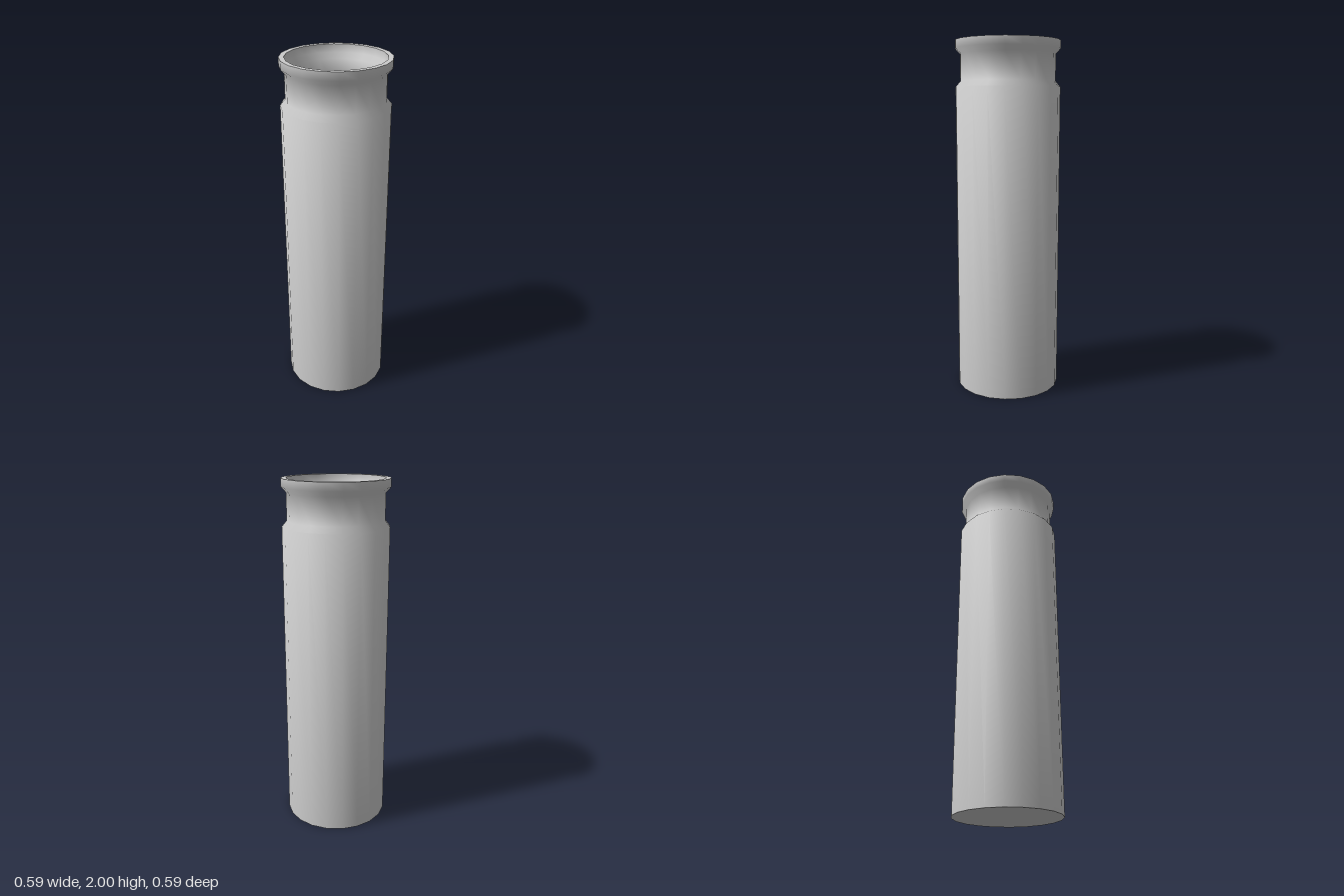
import * as THREE from 'three';
import { toCreasedNormals } from 'three/addons/utils/BufferGeometryUtils.js';

const SIDES = 20;
const WALL = 0.028;

export function createModel() {
  const group = new THREE.Group();
  group.name = 'canister';
  const material = new THREE.MeshStandardMaterial({ color: 0xcccccc });

  // Outer wall from the base up: body, bevel, neck groove, bevel, rim
  const outer = [
    [0.297, 0], [0.297, 1.745], [0.27, 1.777],
    [0.27, 1.925], [0.297, 1.955], [0.297, 2],
  ];
  // Inner wall follows the outer one, a wall thickness further in
  const inner = outer.map(([r, y]) => [r - WALL, y === 0 ? WALL : y]).reverse();

  // Closed bottom, open top
  const profile = [[0, 0], ...outer, ...inner, [0, WALL]].map(([r, y]) => new THREE.Vector2(r, y));
  const geometry = toCreasedNormals(new THREE.LatheGeometry(profile, SIDES), Math.PI / 3);

  const shell = new THREE.Mesh(geometry, material);
  shell.name = 'hollowShell';
  group.add(shell);
  return group;
}
